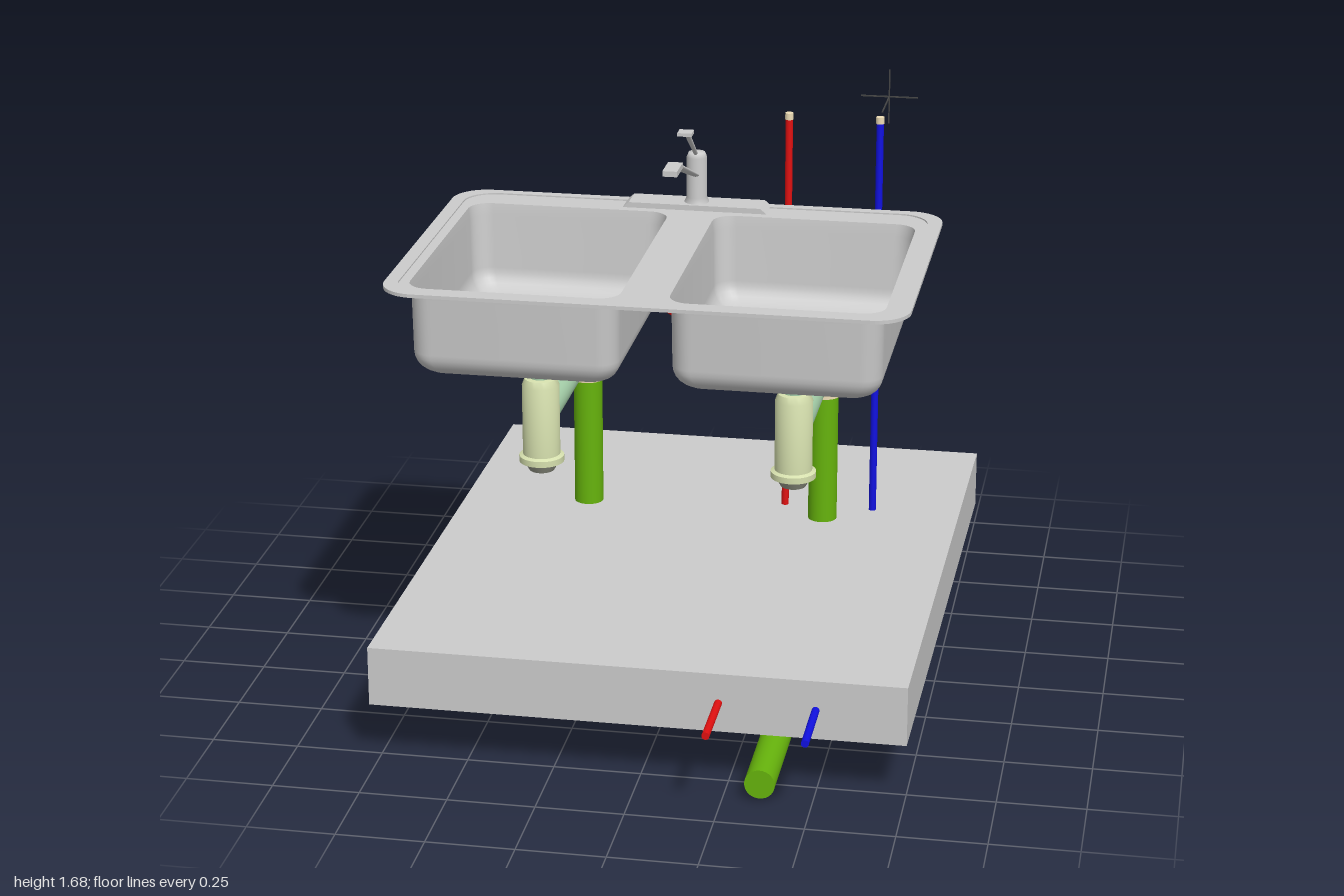
import * as THREE from 'three';
import { toCreasedNormals } from 'three/addons/utils/BufferGeometryUtils.js';

const V = (x, y, z) => new THREE.Vector3(x, y, z);
const paint = (color, side = THREE.FrontSide) => new THREE.MeshStandardMaterial({ color, side });
const GREY = paint(0xcccccc), STEEL = paint(0xcccccc, THREE.DoubleSide), GREEN = paint(0x66b30c),
  PALE = paint(0xa6d0aa), TRAP = paint(0xd6e0ae), CREAM = paint(0xeeddb6),
  RED = paint(0xe01010), BLUE = paint(0x1010e0), DARK = paint(0x444444);

function add(parent, name, geometry, material) {
  const mesh = new THREE.Mesh(geometry, material);
  mesh.name = name;
  parent.add(mesh);
  return mesh;
}

// Round bar between two points, optionally tapered or flattened
function rod(parent, name, a, b, r, material, r2 = r, flat = 1) {
  const d = b.clone().sub(a);
  const mesh = add(parent, name, new THREE.CylinderGeometry(r2, r, d.length(), 28), material);
  mesh.position.copy(a).add(b).multiplyScalar(0.5);
  mesh.quaternion.setFromUnitVectors(V(0, 1, 0), d.normalize());
  mesh.scale.z = flat;
  return mesh;
}

function box(parent, name, x, y, z, w, h, d, material) {
  add(parent, name, new THREE.BoxGeometry(w, h, d), material).position.set(x, y, z);
}

// Pipe bend with a collar on each arm
function elbow(parent, name, corner, dirA, dirB, arm, r) {
  const g = new THREE.Group();
  g.name = name;
  parent.add(g);
  const end = (d, s) => corner.clone().addScaledVector(d, s);
  const curve = new THREE.QuadraticBezierCurve3(end(dirA, arm), corner, end(dirB, arm));
  add(g, 'bend', new THREE.TubeGeometry(curve, 20, r, 28), CREAM);
  for (const d of [dirA, dirB]) rod(g, 'collar', end(d, arm - 0.005), end(d, arm + 0.025), r + 0.003, CREAM);
}

// Corner-rounded rectangle outline in plan
function roundedRect(cx, cz, hw, hd, r, n = 8) {
  const pts = [];
  [[1, 1], [-1, 1], [-1, -1], [1, -1]].forEach(([sx, sz], k) => {
    for (let i = 0; i <= n; i++) {
      const a = (k + i / n) * Math.PI / 2;
      pts.push(new THREE.Vector2(cx + sx * (hw - r) + r * Math.cos(a), cz + sz * (hd - r) + r * Math.sin(a)));
    }
  });
  return pts;
}

// Flat plate in plan, with its top at the given height
function plate(outline, holes, top, thick) {
  const shape = new THREE.Shape(outline);
  shape.holes = holes.map(h => new THREE.Path(h));
  const geo = new THREE.ExtrudeGeometry(shape, { depth: thick, bevelEnabled: false });
  return geo.rotateX(Math.PI / 2).translate(0, top, 0);
}

// Surface through closed rings of equal point count
function loft(rings) {
  const n = rings[0].pts.length, pos = [], idx = [];
  rings.forEach(({ pts, y }) => pts.forEach(p => pos.push(p.x, y, p.y)));
  for (let k = 0; k < rings.length - 1; k++) for (let i = 0; i < n; i++) {
    const a = k * n + i, b = k * n + (i + 1) % n;
    idx.push(a, b, a + n, b, b + n, a + n);
  }
  const geo = new THREE.BufferGeometry();
  geo.setAttribute('position', new THREE.Float32BufferAttribute(pos, 3));
  geo.setIndex(idx);
  return toCreasedNormals(geo, 0.6);
}

const RIM = 1.378, FLOOR = 1.11, BASIN = { z: 0.257, hw: 0.295, hd: 0.402 };

function basin(parent, cx) {
  const { z, hw, hd } = BASIN, R = 0.07;
  const ring = (inset, y) => ({ pts: roundedRect(cx, z, hw - inset, hd - inset, 0.06 - inset * 0.3), y });
  const rings = [ring(0, RIM - 0.002), ring(0.004, 1.34)];
  for (let i = 0; i <= 7; i++) {
    const t = i / 7 * Math.PI / 2;
    rings.push(ring(0.006 + R * (1 - Math.cos(t)), FLOOR + R * (1 - Math.sin(t))));
  }
  // floor closes in to the drain, which steps down to a strainer
  for (const [r, y] of [[0.083, FLOOR], [0.075, 1.105], [0.058, 1.1], [0.05, 1.082], [0.001, 1.082]])
    rings.push({ pts: roundedRect(cx, z, r, r, r), y });
  add(parent, 'basin', loft(rings), STEEL);
  const profile = [[0.08, 1.109], [0.078, 1.1], [0.06, 1.095], [0.058, 1.075], [0.03, 1.072]];
  add(parent, 'drainFlange', new THREE.LatheGeometry(profile.map(p => new THREE.Vector2(...p)), 32), STEEL)
    .position.set(cx, 0, z);
  const strainer = add(parent, 'strainerRing', new THREE.TorusGeometry(0.024, 0.004, 8, 28), GREY);
  strainer.rotation.x = Math.PI / 2;
  strainer.position.set(cx, 1.084, z);
}

function sink(parent) {
  const { z, hw, hd } = BASIN, centres = [-0.371, 0.354];
  const outline = roundedRect(-0.007, 0.23, 0.726, 0.495, 0.1, 12);
  add(parent, 'rim', plate(outline, centres.map(x => roundedRect(x, z, hw, hd, 0.06)), RIM - 0.002, 0.006), GREY);
  add(parent, 'rimLip', plate(outline, [roundedRect(-0.008, 0.235, 0.686, 0.47, 0.09, 12)], RIM + 0.002, 0.004), GREY);
  centres.forEach(x => basin(parent, x));
}

function tap(parent) {
  const x = -0.008, z = -0.212;
  const s = new THREE.Shape([[-0.213, 0], [0.213, 0], [0.195, 0.016], [-0.195, 0.016]].map(p => new THREE.Vector2(...p)));
  add(parent, 'tapDeck', new THREE.ExtrudeGeometry(s, { depth: 0.09, bevelEnabled: false }), GREY).position.set(x, RIM, -0.257);
  const body = [[0.038, 1.39], [0.03, 1.41], [0.03, 1.53], [0.024, 1.544], [0, 1.548]];
  add(parent, 'tapBody', new THREE.LatheGeometry(body.map(p => new THREE.Vector2(...p)), 32), STEEL).position.set(x, 0, z);
  rod(parent, 'spout', V(x, 1.48, -0.19), V(x, 1.607, 0.15), 0.011, GREY, 0.02, 0.5);
  box(parent, 'spoutEnd', x, 1.607, 0.187, 0.042, 0.016, 0.094, GREY);
  rod(parent, 'lever', V(x, 1.54, -0.2), V(x, 1.65, -0.04), 0.006, GREY, 0.008);
  box(parent, 'leverGrip', x, 1.654, -0.022, 0.042, 0.01, 0.042, GREY);
}

// Waste line under one basin, down through the slab
function waste(parent, x, zBack) {
  const z = 0.262, y = 0.87;
  rod(parent, 'tailpiece', V(x, 0.97, z), V(x, 1.08, z), 0.031, PALE);
  const trap = [[0, 0.71], [0.035, 0.712], [0.05, 0.735], [0.065, 0.737], [0.065, 0.755], [0.054, 0.76],
    [0.054, 0.97], [0.046, 0.99], [0.03, 0.992]];
  add(parent, 'trap', toCreasedNormals(new THREE.LatheGeometry(trap.map(p => new THREE.Vector2(...p)), 32), 0.6), TRAP)
    .position.set(x, 0, z);
  add(parent, 'trapCap', new THREE.CylinderGeometry(0.051, 0.036, 0.026, 32), paint(0x9a9c8c)).position.set(x, 0.722, z);
  rod(parent, 'trapArm', V(x, y, z - 0.04), V(x, y, zBack + 0.09), 0.042, PALE);
  rod(parent, 'armFlange', V(x, y, zBack + 0.1), V(x, y, zBack + 0.122), 0.058, CREAM, 0.082);
  elbow(parent, 'upperElbow', V(x, y, zBack), V(0, 0, 1), V(0, -1, 0), 0.095, 0.048);
  rod(parent, 'wastePipe', V(x, 0.13, zBack), V(x, 0.79, zBack), 0.044, GREEN);
}

// Supply riser with its run in the slab, tee fitting and hose to the tap
function supply(parent, x, hoseX, color, name) {
  const z = -0.472;
  rod(parent, name + 'Riser', V(x, 0.26, z), V(x, 1.59, z), 0.011, color);
  rod(parent, name + 'Feed', V(x, 0.26, z), V(x, 0.26, 1), 0.011, color);
  rod(parent, 'riserCap', V(x, 1.582, z), V(x, 1.602, z), 0.0125, CREAM);
  rod(parent, 'tee', V(x, 1.008, z), V(x, 1.05, z), 0.014, CREAM);
  rod(parent, 'teeOutlet', V(x, 1.03, z), V(x, 1.03, z + 0.025), 0.0135, CREAM);
  const d = x - hoseX;
  const path = [[0, 1.38, -0.215], [0, 1.28, -0.228], [0, 1.19, -0.226], [0.01, 1.125, -0.18], [0.2, 1.075, -0.128],
    [0.62, 1.05, -0.112], [0.95, 1.018, -0.115], [1.035, 1.012, -0.16], [1.02, 1.02, -0.29], [1, 1.03, z + 0.01]];
  const curve = new THREE.CatmullRomCurve3(path.map(([t, y, pz]) => V(hoseX + t * d, y, pz)));
  add(parent, name + 'Hose', new THREE.TubeGeometry(curve, 90, 0.0125, 14), color);
}

export function createModel() {
  const model = new THREE.Group();
  const group = name => {
    const g = new THREE.Group();
    g.name = name;
    model.add(g);
    return g;
  };

  // Floor slab, very slightly skewed in plan
  const plan = [[-0.757, -1], [0.772, -1], [0.752, 0.79], [-0.772, 0.79]].map(p => new THREE.Vector2(...p));
  add(model, 'floorSlab', plate(plan, [], 0.348, 0.175), GREY);

  sink(group('sink'));
  tap(group('tap'));

  // Drainage, with the two lines joining at a wye below the slab
  const drains = group('drainage');
  const y = 0.055, left = V(-0.38, y, -0.405), right = V(0.354, y, -0.385), wye = V(0.354, y, 0.31);
  waste(drains, left.x, left.z);
  waste(drains, right.x, right.z);
  const branch = wye.clone().sub(left).normalize(), up = V(0, 1, 0);
  elbow(drains, 'lowerElbow', left, up, branch, 0.08, 0.049);
  elbow(drains, 'lowerElbow', right, up, V(0, 0, 1), 0.08, 0.049);
  rod(drains, 'branchPipe', left.clone().addScaledVector(branch, 0.08), wye, 0.043, GREEN);
  rod(drains, 'mainPipe', V(right.x, y, right.z + 0.08), V(right.x, y, 0.86), 0.043, GREEN);
  rod(drains, 'wyeBody', V(wye.x, y, 0.19), V(wye.x, y, 0.38), 0.047, CREAM);
  rod(drains, 'wyeBranch', wye, wye.clone().addScaledVector(branch, -0.17), 0.047, CREAM);
  rod(drains, 'wyeCollar', wye.clone().addScaledVector(branch, -0.15), wye.clone().addScaledVector(branch, -0.18), 0.052, CREAM);
  for (const z of [0.18, 0.365]) rod(drains, 'wyeCollar', V(wye.x, y, z), V(wye.x, y, z + 0.025), 0.052, CREAM);

  const pipes = group('supplyPipes');
  supply(pipes, 0.498, 0.13, BLUE, 'cold');
  supply(pipes, 0.226, -0.135, RED, 'hot');

  // Thin measuring marks behind the cold riser
  const marks = group('measuringMarks');
  for (const h of [1.604, 1.038]) {
    box(marks, 'extensionLine', 0.498, h, -0.608, 0.004, 0.004, 0.176, DARK);
    box(marks, 'crossTick', 0.498, h, -0.695, 0.172, 0.004, 0.004, DARK);
    box(marks, 'uprightTick', 0.498, h, -0.695, 0.004, 0.168, 0.004, DARK);
  }
  return model;
}
